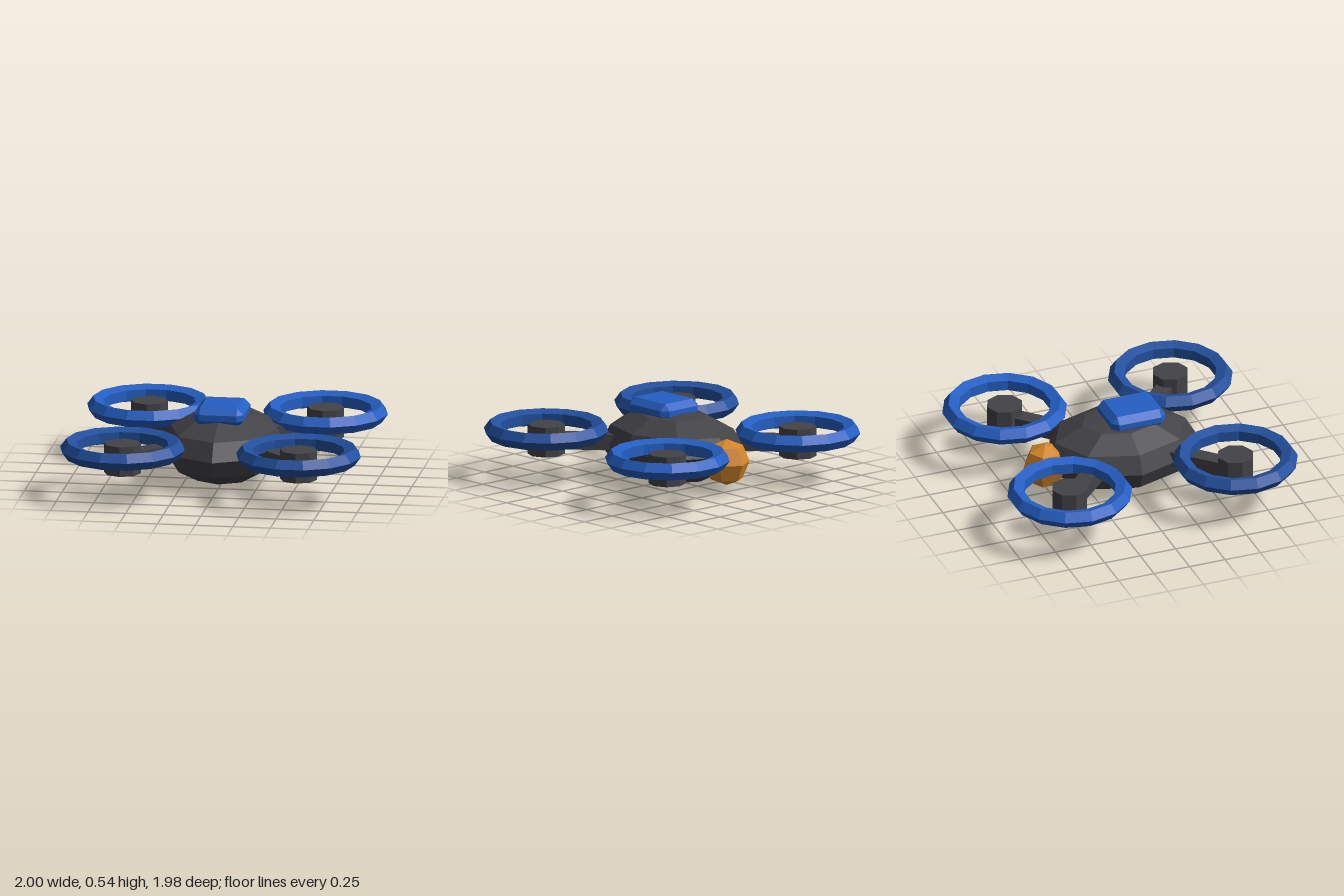
import * as THREE from 'three';
import { ConvexGeometry } from 'three/addons/geometries/ConvexGeometry.js';

const flat = (name, color) => {
  const m = new THREE.MeshStandardMaterial({ color, flatShading: true });
  m.name = name;
  return m;
};

// Box with every edge cut by one flat chamfer
function chamferBox(w, h, d, c) {
  const pts = [];
  for (const sx of [-1, 1]) for (const sy of [-1, 1]) for (const sz of [-1, 1]) {
    for (let keep = 0; keep < 3; keep++) {
      const half = [w / 2, h / 2, d / 2].map((v, i) => (i === keep ? v : v - c));
      pts.push(new THREE.Vector3(sx * half[0], sy * half[1], sz * half[2]));
    }
  }
  return new ConvexGeometry(pts);
}

export function createModel() {
  const charcoal = flat('charcoal', 0x434247);
  const blue = flat('blue', 0x245fc4);
  const deepBlue = flat('deepBlue', 0x23509f);
  const orange = flat('orange', 0xd4862a);

  const model = new THREE.Group();
  model.name = 'quadcopter';
  const add = (name, geometry, material, x, y, z, parent = model) => {
    const mesh = new THREE.Mesh(geometry, material);
    mesh.name = name;
    mesh.position.set(x, y, z);
    parent.add(mesh);
    return mesh;
  };

  // Faceted egg-shaped hull
  add('body', new THREE.SphereGeometry(1, 8, 6).scale(0.41, 0.24, 0.53), charcoal, 0, 0.245, 0);

  // Chamfered hatch on top, slightly forward
  add('topHatch', chamferBox(0.33, 0.125, 0.38, 0.042), blue, 0, 0.483, 0.08);

  // Camera pod under the tail
  add('cameraPod', new THREE.SphereGeometry(0.155, 6, 4).rotateY(Math.PI / 6), orange, 0, 0.215, -0.527);

  // Four rotor units: arm, motor and guard ring
  const offset = 0.585;
  const ringGeometry = new THREE.TorusGeometry(0.354, 0.06, 5, 14).rotateX(Math.PI / 2);
  const motorGeometry = new THREE.CylinderGeometry(0.123, 0.123, 0.2, 8);
  const armGeometry = new THREE.BoxGeometry(0.11, 0.1, 0.6);
  for (const sx of [-1, 1]) for (const sz of [-1, 1]) {
    const rotor = new THREE.Group();
    rotor.name = (sz > 0 ? 'front' : 'back') + (sx > 0 ? 'Left' : 'Right') + 'Rotor';
    model.add(rotor);
    const x = sx * offset, z = sz * offset;
    add('guardRing', ringGeometry, sz > 0 ? deepBlue : blue, x, 0.337, z, rotor);
    add('motor', motorGeometry, charcoal, x, 0.275, z, rotor);
    const arm = add('arm', armGeometry, charcoal, x * 0.64, 0.265, z * 0.64, rotor);
    arm.rotation.y = Math.atan2(sx, sz);
  }
  return model;
}
